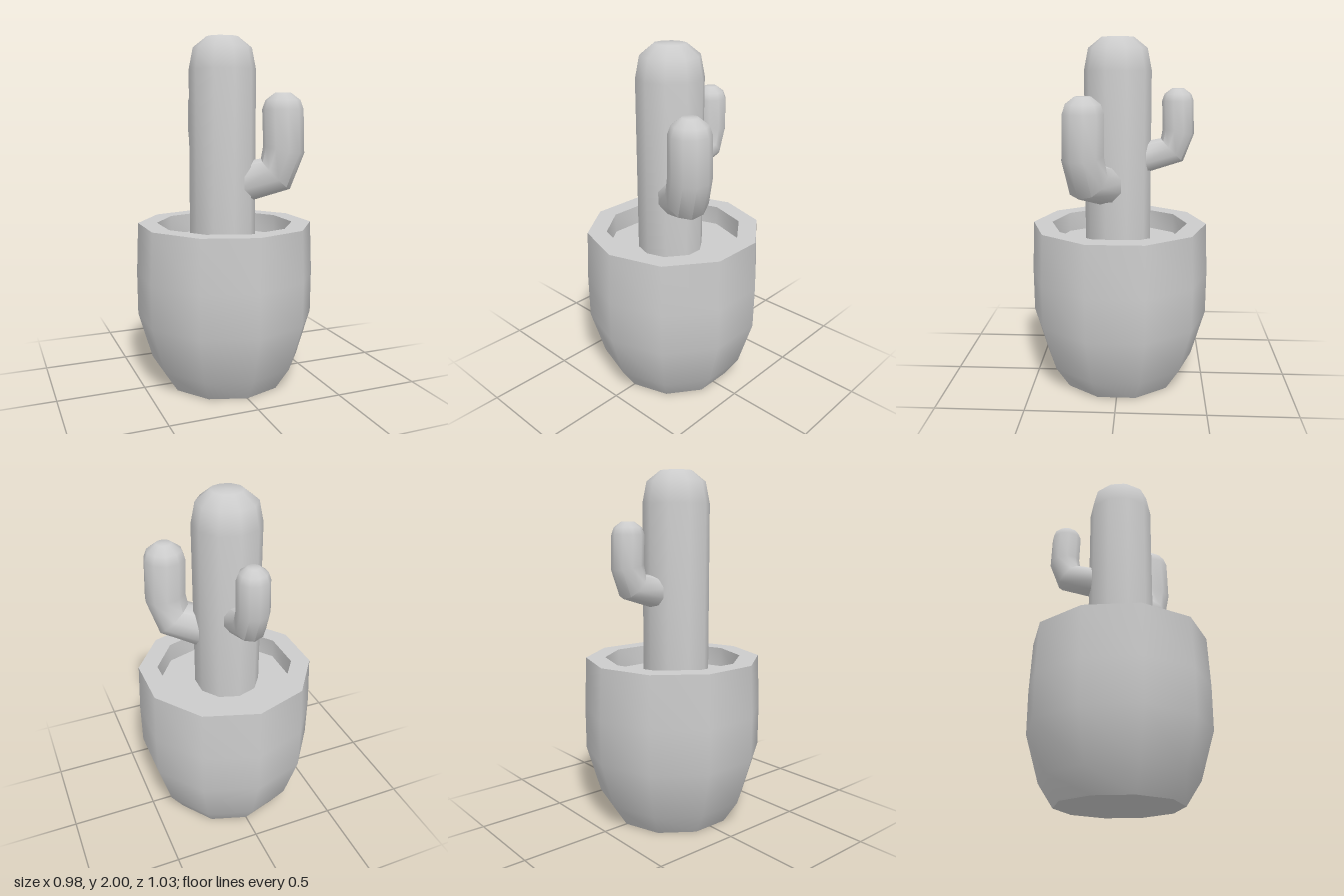
import * as THREE from 'three';
import { mergeVertices, toCreasedNormals } from 'three/addons/utils/BufferGeometryUtils.js';

const SIDES = 10;
const CREASE = 0.9; // keeps the ten sides smooth and the rims sharp
const material = new THREE.MeshStandardMaterial({ color: 0xcccccc });

function part(name, geometry, parent) {
  const mesh = new THREE.Mesh(geometry, material);
  mesh.name = name;
  parent.add(mesh);
  return mesh;
}

// Ten-sided turned solid from [radius, height] pairs
function turned(profile) {
  const points = profile.map(([r, y]) => new THREE.Vector2(r, y));
  return toCreasedNormals(new THREE.LatheGeometry(points, SIDES), CREASE);
}

// Bent arm: each station is [outward, height, tilt, radius]
function armGeometry() {
  const stations = [
    [0.08, 1.175, 1.27, 0],
    [0.08, 1.175, 1.27, 0.118],
    [0.305, 1.236, 0.8, 0.12],
    [0.35, 1.375, 0.17, 0.118],
    [0.342, 1.6, 0, 0.116],
    [0.342, 1.65, 0, 0.098],
    [0.342, 1.69, 0, 0.045],
    [0.342, 1.69, 0, 0],
  ];
  // A straight lathe whose rings are moved and tilted onto the stations
  const geometry = new THREE.LatheGeometry(
    stations.map(([, , , r], i) => new THREE.Vector2(r, i)), SIDES);
  const pos = geometry.attributes.position;
  for (let i = 0; i < pos.count; i++) {
    const [out, height, tilt] = stations[Math.round(pos.getY(i))];
    const z = pos.getZ(i);
    pos.setXYZ(i, pos.getX(i), height - z * Math.sin(tilt), out + z * Math.cos(tilt));
  }
  geometry.deleteAttribute('normal');
  geometry.deleteAttribute('uv');
  return toCreasedNormals(mergeVertices(geometry), CREASE);
}

export function createModel() {
  const model = new THREE.Group();
  model.name = 'pottedCactus';

  // Pot with a thick rim
  part('pot', turned([
    [0, 0], [0.35, 0], [0.435, 0.13], [0.515, 0.4], [0.517, 0.65],
    [0.505, 0.945], [0.395, 0.945], [0.395, 0.81],
  ]), model);

  // Soil
  const soil = part('soil', new THREE.CylinderGeometry(0.395, 0.395, 0.02, SIDES), model);
  soil.position.y = 0.82;

  // Cactus, slightly off the pot's centre
  const cactus = new THREE.Group();
  cactus.name = 'cactus';
  cactus.position.set(-0.0175, 0, 0.01);
  model.add(cactus);

  part('trunk', turned([
    [0.19, 0.82], [0.19, 1.82], [0.166, 1.94], [0.09, 2], [0, 2],
  ]), cactus);

  const arm = armGeometry();
  part('frontArm', arm, cactus).rotation.y = 1.057;

  // Smaller arm at the back
  const backArm = part('backArm', arm, cactus);
  backArm.rotation.y = Math.PI;
  backArm.scale.setScalar(0.76);
  backArm.position.set(0, 0.436, -0.078);

  return model;
}
